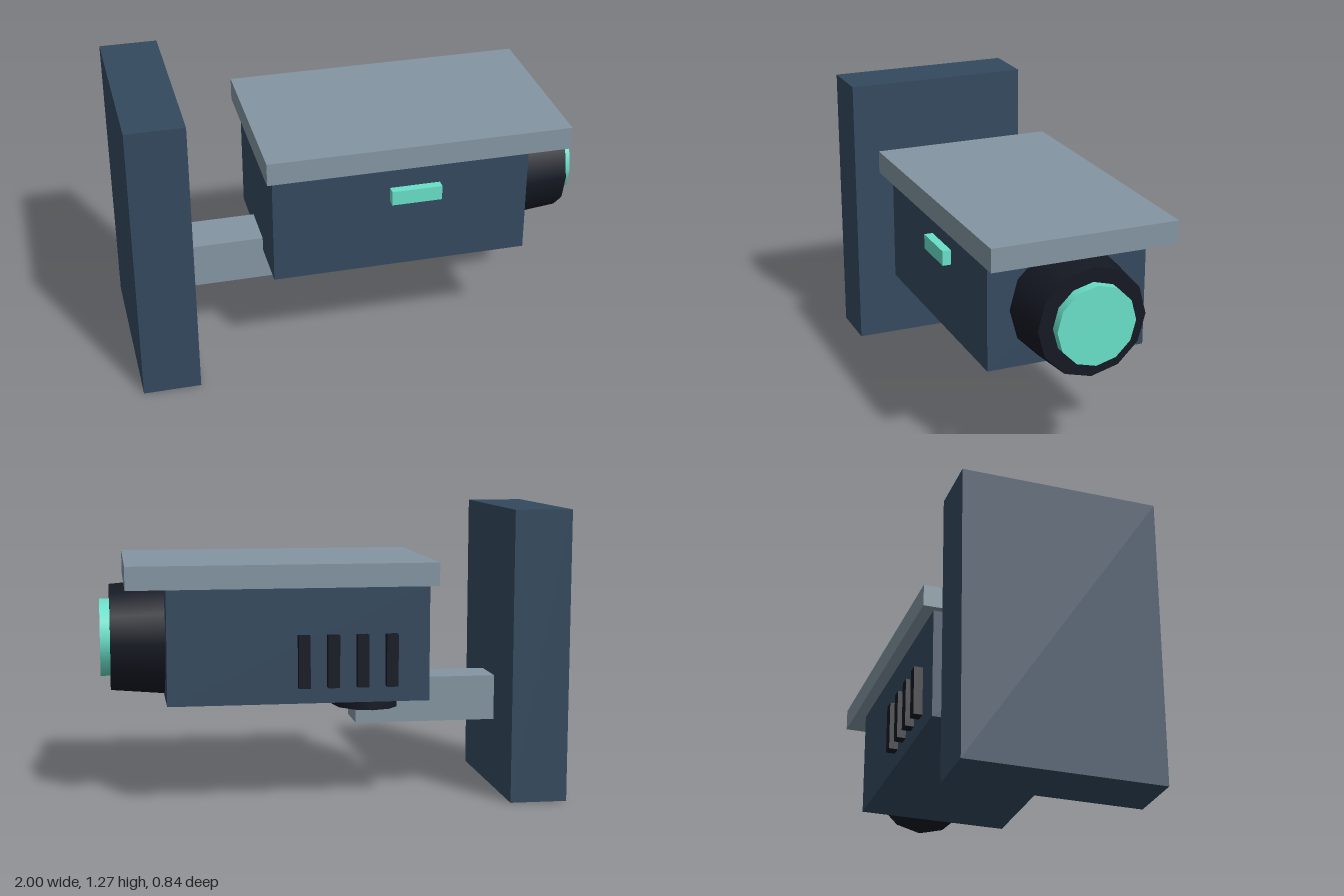
import * as THREE from 'three';

export function createModel() {
  const model = new THREE.Group();
  model.name = 'securityCamera';

  const paint = (color) => new THREE.MeshStandardMaterial({ color });
  const navy = paint(0x34495e);
  const steel = paint(0x8395a1);
  const black = paint(0x151923);
  const mint = paint(0x68dfc8);

  const add = (name, geometry, material) => {
    const mesh = new THREE.Mesh(geometry, material);
    mesh.name = name;
    model.add(mesh);
    return mesh;
  };

  // Box given by its extents along each axis
  const box = (name, material, [x0, x1], [y0, y1], [z0, z1]) =>
    add(name, new THREE.BoxGeometry(x1 - x0, y1 - y0, z1 - z0), material)
      .position.set((x0 + x1) / 2, (y0 + y1) / 2, (z0 + z1) / 2);

  // Twelve-sided drum lying along x, on the lens axis
  const drum = (name, material, x0, x1, r0, r1) => {
    const geometry = new THREE.CylinderGeometry(r1, r0, x1 - x0, 12);
    geometry.rotateZ(-Math.PI / 2);
    add(name, geometry, material).position.set((x0 + x1) / 2, 0.703, 0);
  };

  // Wall mount
  box('wallPlate', navy, [-1, -0.75], [0, 1.27], [-0.42, 0.42]);
  box('mountArm', steel, [-0.75, -0.12], [0.31, 0.51], [-0.105, 0.105]);

  // Swivel under the housing, slightly oval
  const swivel = add('swivel', new THREE.CylinderGeometry(1, 1, 0.07, 12), black);
  swivel.scale.set(0.155, 1, 0.183);
  swivel.position.set(-0.182, 0.415, 0);

  // Housing and sun hood
  box('housing', navy, [-0.4, 0.725], [0.45, 0.95], [-0.352, 0.352]);
  box('sunHood', steel, [-0.43, 0.895], [0.95, 1.05], [-0.406, 0.406]);

  // Lens
  drum('lensBarrel', black, 0.725, 0.957, 0.255, 0.235);
  drum('lensGlass', mint, 0.957, 1, 0.171, 0.171);

  // Status light on the front side
  box('statusLight', mint, [0.11, 0.33], [0.77, 0.835], [0.352, 0.39]);

  // Cooling ribs on the back side
  for (let i = 0; i < 4; i++) {
    const x = -0.232 + i * 0.126;
    box(`vent${i + 1}`, black, [x - 0.025, x + 0.025], [0.52, 0.745], [-0.392, -0.352]);
  }

  return model;
}
